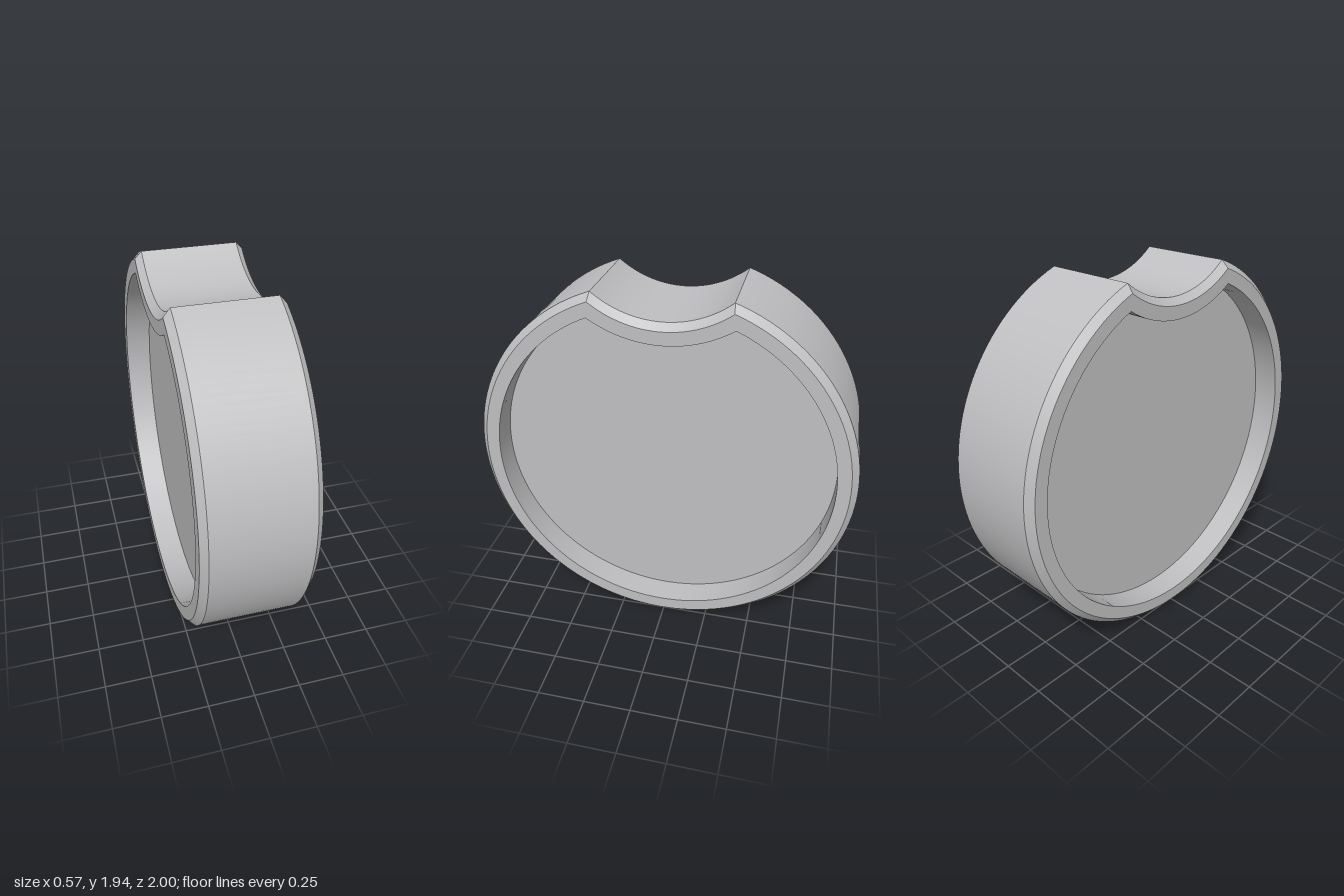
import * as THREE from 'three';
import { toCreasedNormals } from 'three/addons/utils/BufferGeometryUtils.js';

const NOTCH_Y = 1.36; // notch arc centre, measured from the disc centre
const NOTCH_R = 0.54;
const ARC = 128, BITE = 40;

// Disc outline with a round bite in the top, inset evenly, at depth x
function outline(x, inset) {
  const r = 1 - inset, n = NOTCH_R + inset;
  const y = (r * r - n * n + NOTCH_Y * NOTCH_Y) / (2 * NOTCH_Y);
  const z = Math.sqrt(r * r - y * y);
  const a = Math.atan2(z, y), b = Math.atan2(z, NOTCH_Y - y);
  const loop = [];
  for (let i = 0; i < ARC; i++) {
    const t = a + (2 * Math.PI - 2 * a) * i / ARC;
    loop.push([x, 1 + r * Math.cos(t), r * Math.sin(t)]);
  }
  for (let i = 0; i < BITE; i++) {
    const t = -b + 2 * b * i / BITE;
    loop.push([x, 1 + NOTCH_Y - n * Math.cos(t), n * Math.sin(t)]);
  }
  return loop;
}

// Skin a row of loops ordered from +x to -x along the outside
function skin(loops) {
  const pos = [], n = ARC + BITE;
  for (let k = 0; k + 1 < loops.length; k++) {
    const A = loops[k], B = loops[k + 1];
    for (let i = 0; i < n; i++) {
      const j = (i + 1) % n;
      pos.push(...A[i], ...B[i], ...A[j], ...A[j], ...B[i], ...B[j]);
    }
  }
  const g = new THREE.BufferGeometry();
  g.setAttribute('position', new THREE.Float32BufferAttribute(pos, 3));
  return toCreasedNormals(g, Math.PI / 6);
}

// Flat recess floor, fanned from its centre
function floorPlate(x) {
  const edge = outline(x, 0.105), pos = [];
  edge.forEach((p, i) => {
    const q = edge[(i + 1) % edge.length];
    pos.push(x, 1, 0, ...(x > 0 ? [...p, ...q] : [...q, ...p]));
  });
  const g = new THREE.BufferGeometry();
  g.setAttribute('position', new THREE.Float32BufferAttribute(pos, 3));
  g.computeVertexNormals();
  return g;
}

export function createModel() {
  const grey = new THREE.MeshStandardMaterial({ color: 0xbfbfc1 });
  grey.name = 'plain grey';
  const model = new THREE.Group();
  model.name = 'notchedDisc';
  const add = (name, geometry) => {
    const mesh = new THREE.Mesh(geometry, grey);
    mesh.name = name;
    model.add(mesh);
  };

  // Rim: recess wall, flat lip, chamfer and outer wall, mirrored on both sides
  const half = [[0.142, 0.105], [0.285, 0.105], [0.285, 0.035], [0.25, 0]];
  const section = [...half, ...half.map(([x, o]) => [-x, o]).reverse()];
  add('rim', skin(section.map(([x, o]) => outline(x, o))));

  // Recess floors
  add('leftRecessFloor', floorPlate(0.142));
  add('rightRecessFloor', floorPlate(-0.142));
  return model;
}
